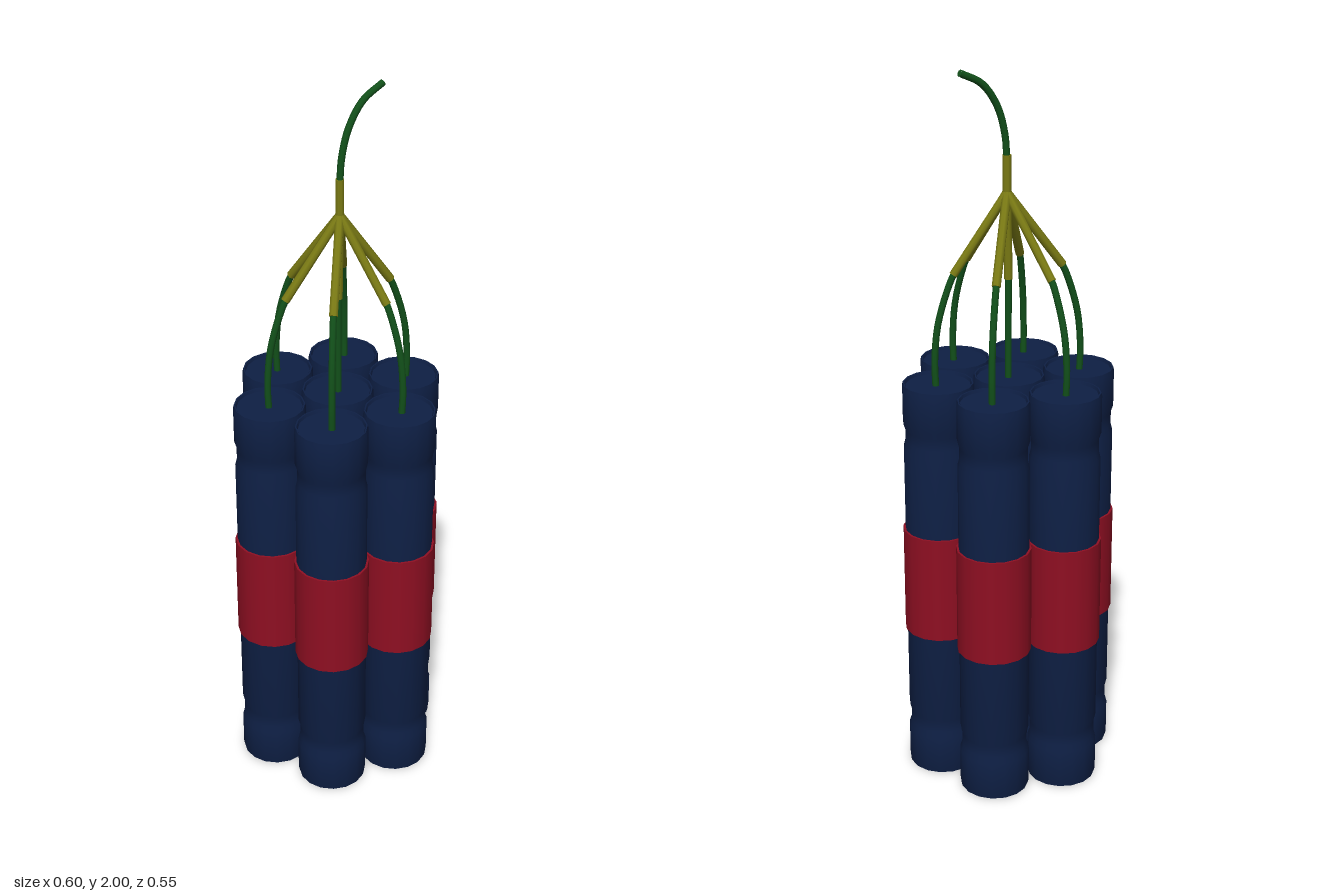
import * as THREE from 'three';
import { toCreasedNormals } from 'three/addons/utils/BufferGeometryUtils.js';

const mat = (color) => new THREE.MeshStandardMaterial({ color });
const V = (x, y, z) => new THREE.Vector3(x, y, z);

export function createModel() {
  const model = new THREE.Group();
  const navy = mat(0x0e1f44), red = mat(0x8f0f22), green = mat(0x12501a), olive = mat(0x7a7a14);
  const SIDES = 16;

  const add = (parent, name, geometry, material) => {
    const mesh = new THREE.Mesh(geometry, material);
    mesh.name = name;
    parent.add(mesh);
    return mesh;
  };

  // Cord with closed ends, swept through a few points
  const cord = (parent, name, points, radius, material, segments) => {
    const curve = points.length > 2
      ? new THREE.CatmullRomCurve3(points)
      : new THREE.LineCurve3(points[0], points[1]);
    add(parent, name, new THREE.TubeGeometry(curve, segments, radius, 8), material);
    for (const t of [0, 1]) {
      const cap = add(parent, name + 'End', new THREE.CircleGeometry(radius, 8), material);
      const outward = curve.getTangent(t).multiplyScalar(t ? 1 : -1);
      cap.position.copy(curve.getPoint(t));
      cap.quaternion.setFromUnitVectors(V(0, 0, 1), outward);
    }
  };

  // Stick profile: crimped near both ends, with slightly sunken end faces
  const profile = [
    [0, 0.008], [0.088, 0.008], [0.091, 0], [0.095, 0], [0.097, 0.008],
    [0.097, 0.112], [0.091, 0.13], [0.091, 0.165], [0.096, 0.185],
    [0.096, 0.975], [0.091, 0.995], [0.091, 1.03], [0.097, 1.048],
    [0.097, 1.152], [0.095, 1.16], [0.091, 1.16], [0.088, 1.152], [0, 1.152],
  ].map(([r, y]) => new THREE.Vector2(r, y));
  const stickGeo = toCreasedNormals(new THREE.LatheGeometry(profile, SIDES), 0.6);
  const bandGeo = new THREE.CylinderGeometry(0.102, 0.102, 0.305, SIDES);

  // One stick in the middle, six around it
  const bases = [[0, 0]];
  for (let i = 0; i < 6; i++) {
    const a = (i * Math.PI) / 3;
    bases.push([0.2 * Math.cos(a), 0.2 * Math.sin(a)]);
  }

  const hub = V(0.006, 1.665, -0.003);
  bases.forEach(([x, z]) => {
    const unit = new THREE.Group();
    unit.name = 'stickWithFuse';
    model.add(unit);
    add(unit, 'stick', stickGeo, navy).position.set(x, 0, z - 0.003);
    add(unit, 'band', bandGeo, red).position.set(x, 0.583, z - 0.003);

    // Fuse bows outward, then leans in to its sleeve
    const at = (k, y) => V(x * k + 0.002, y, z * k - 0.003);
    const end = x || z ? at(0.76, 1.455) : at(0, 1.43);
    cord(unit, 'fuse', [at(1.02, 1.145), at(1.03, 1.22), at(0.97, 1.33), end,
      end.clone().lerp(hub, 0.12)], 0.0095, green, 14);
    cord(unit, 'fuseSleeve', [end, hub], 0.012, olive, 1);
  });

  // Joined sleeve and the main fuse curling off to one side
  cord(model, 'mainSleeve', [V(0.006, 1.65, -0.003), V(0.006, 1.765, -0.003)], 0.012, olive, 1);
  cord(model, 'mainFuse', [V(0.006, 1.75, -0.003), V(0.012, 1.82, -0.005), V(0.034, 1.895, -0.01),
    V(0.078, 1.957, -0.02), V(0.14, 1.99, -0.033)], 0.0095, green, 20);

  return model;
}
